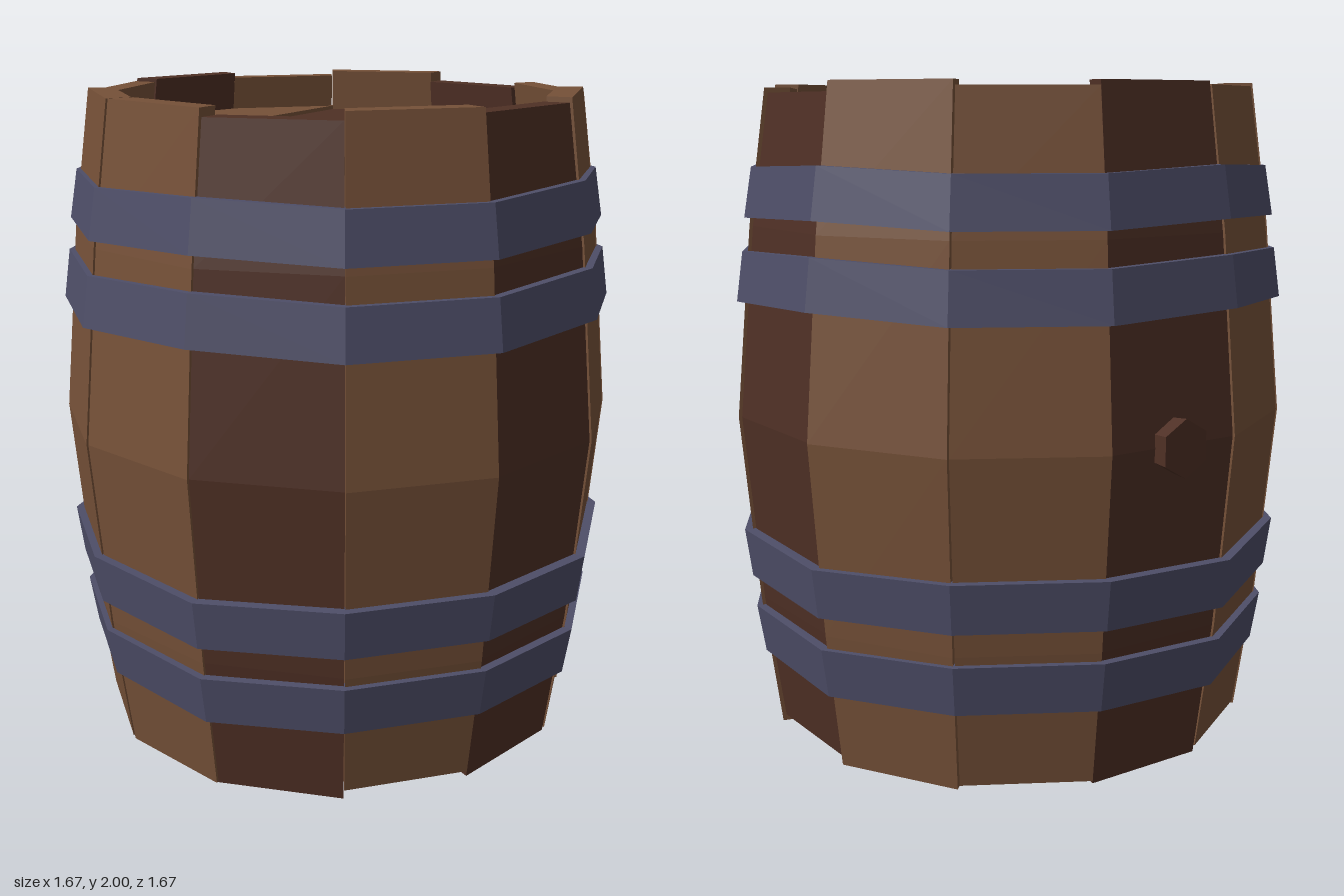
import * as THREE from 'three';

const mat = (name, color) => Object.assign(new THREE.MeshStandardMaterial({ color }), { name });
const rad = THREE.MathUtils.degToRad;
const SIDES = 12, T15 = Math.tan(rad(15));

// Flat-faced skin over a row of four-cornered cross-sections.
function loft(sections, closed) {
  const pos = [];
  const n = sections.length;
  const quad = (a, b, c, d) => [a, b, c, a, c, d].forEach((p) => pos.push(...p));
  for (let i = 0; i < (closed ? n : n - 1); i++) {
    const s = sections[i], t = sections[(i + 1) % n];
    for (let j = 0; j < 4; j++) quad(s[j], s[(j + 1) % 4], t[(j + 1) % 4], t[j]);
  }
  if (!closed) {
    quad(...sections[n - 1]);
    quad(...[...sections[0]].reverse());
  }
  const g = new THREE.BufferGeometry();
  g.setAttribute('position', new THREE.Float32BufferAttribute(pos, 3));
  g.computeVertexNormals();
  return g;
}

// Bulging stave facing +z; the radius is smallest at both ends.
function staveGeometry(bottom, top, offset) {
  const rows = [[bottom, 0.727], [0.42, 0.782], [1, 0.832], [1.58, 0.782], [top, 0.727]];
  return loft(rows.map(([y, radius]) => {
    const ro = radius + offset, ri = ro - 0.075;
    const wo = radius * T15 - 0.002, wi = (radius - 0.075) * T15 - 0.002;
    return [[-wo, y, ro], [wo, y, ro], [wi, y, ri], [-wi, y, ri]];
  }), false);
}

// Twelve-sided band, slightly uneven in height.
function hoopGeometry(y0, y1, r0, r1, wave) {
  const sections = [];
  for (let k = 0; k < SIDES; k++) {
    const a = rad(15 + 30 * k);
    const dy = -wave * Math.cos(4 * a);
    const at = (apothem, y) => {
      const r = apothem / Math.cos(rad(15));
      return [r * Math.sin(a), y + dy, r * Math.cos(a)];
    };
    sections.push([at(r0, y0), at(r0 - 0.045, y0), at(r1 - 0.045, y1), at(r1, y1)]);
  }
  return loft(sections, true);
}

// Plank cut from a twelve-sided disc between two parallel lines.
const LID = 0.69, LID_R = LID / Math.cos(rad(15));
function plankGeometry(lo, hi, depth) {
  const halfWidth = (s) => Math.max(0, Math.min(...[15, 45, 75].map(
    (d) => (LID - Math.abs(s) * Math.sin(rad(d))) / Math.cos(rad(d)))));
  const corners = [-90, -60, -30, 0, 30, 60, 90].map((d) => LID_R * Math.sin(rad(d)));
  const rows = [lo, ...corners.filter((s) => s > lo + 1e-4 && s < hi - 1e-4), hi];
  const pts = rows.map((s) => new THREE.Vector2(halfWidth(s), -s));
  pts.push(...[...rows].reverse().map((s) => new THREE.Vector2(-halfWidth(s), -s)));
  const clean = pts.filter((p, i) => p.distanceTo(pts[(i + 1) % pts.length]) > 1e-4);
  const g = new THREE.ExtrudeGeometry(new THREE.Shape(clean), { depth, bevelEnabled: false });
  return g.rotateX(-Math.PI / 2);
}

export function createModel() {
  const light = mat('light wood', 0x765138);
  const dark = mat('dark wood', 0x4f3025);
  const iron = mat('iron', 0x4e4e68);
  const barrel = new THREE.Group();
  barrel.name = 'barrel';

  const add = (parent, name, geometry, material) => {
    const mesh = new THREE.Mesh(geometry, material);
    mesh.name = name;
    parent.add(mesh);
    return mesh;
  };
  const addGroup = (name) => {
    const g = new THREE.Group();
    g.name = name;
    barrel.add(g);
    return g;
  };

  // Staves: bottom and top height of each, going round from the front
  const ends = [[0.03, 2], [0.01, 1.985], [0.02, 2], [0, 1.985], [0.02, 1.97], [0, 2],
    [0.01, 1.985], [0, 2], [0.02, 1.99], [0.01, 2], [0, 2], [0, 1.975]];
  const darkStaves = [1, 4, 7, 11];
  const staves = addGroup('staves');
  ends.forEach(([bottom, top], k) => {
    const isDark = darkStaves.includes(k);
    const offset = isDark ? -0.006 : k % 2 ? 0.004 : 0;
    add(staves, 'stave', staveGeometry(bottom, top, offset), isDark ? dark : light)
      .rotation.y = rad(30 * k);
  });

  // Hoops, mirrored about the middle
  const hoops = addGroup('hoops');
  for (const [y0, y1, r0, r1] of [[1.61, 1.76, 0.8, 0.776], [1.36, 1.51, 0.829, 0.809]]) {
    add(hoops, 'upperHoop', hoopGeometry(y0, y1, r0, r1, 0.01), iron);
    add(hoops, 'lowerHoop', hoopGeometry(2 - y1, 2 - y0, r1, r0, -0.01), iron);
  }

  // Lid and base, four planks each, running across one another
  const lid = addGroup('lid');
  const base = addGroup('base');
  const cuts = [-LID_R, -0.345, 0, 0.335, LID_R];
  for (let i = 0; i < 4; i++) {
    const step = [0, 0.012, 0.003, 0][i];
    const top = add(lid, 'lidPlank', plankGeometry(cuts[i], cuts[i + 1], 0.05 - step), i === 1 ? dark : light);
    top.position.y = 1.83;
    top.rotation.y = rad(45);
    const j = 3 - i;
    const under = add(base, 'basePlank', plankGeometry(cuts[j], cuts[j + 1], 0.05 - step), i === 1 ? dark : light);
    under.position.y = 0.12 + step;
    under.rotation.y = rad(-45);
  }

  // Six-sided bung in the back stave
  const bung = new THREE.CylinderGeometry(0.085, 0.075, 0.1, 6).toNonIndexed();
  bung.computeVertexNormals();
  bung.rotateX(Math.PI / 2).translate(0, 1, 0.825).rotateY(rad(210));
  add(barrel, 'bung', bung, dark);

  return barrel;
}
